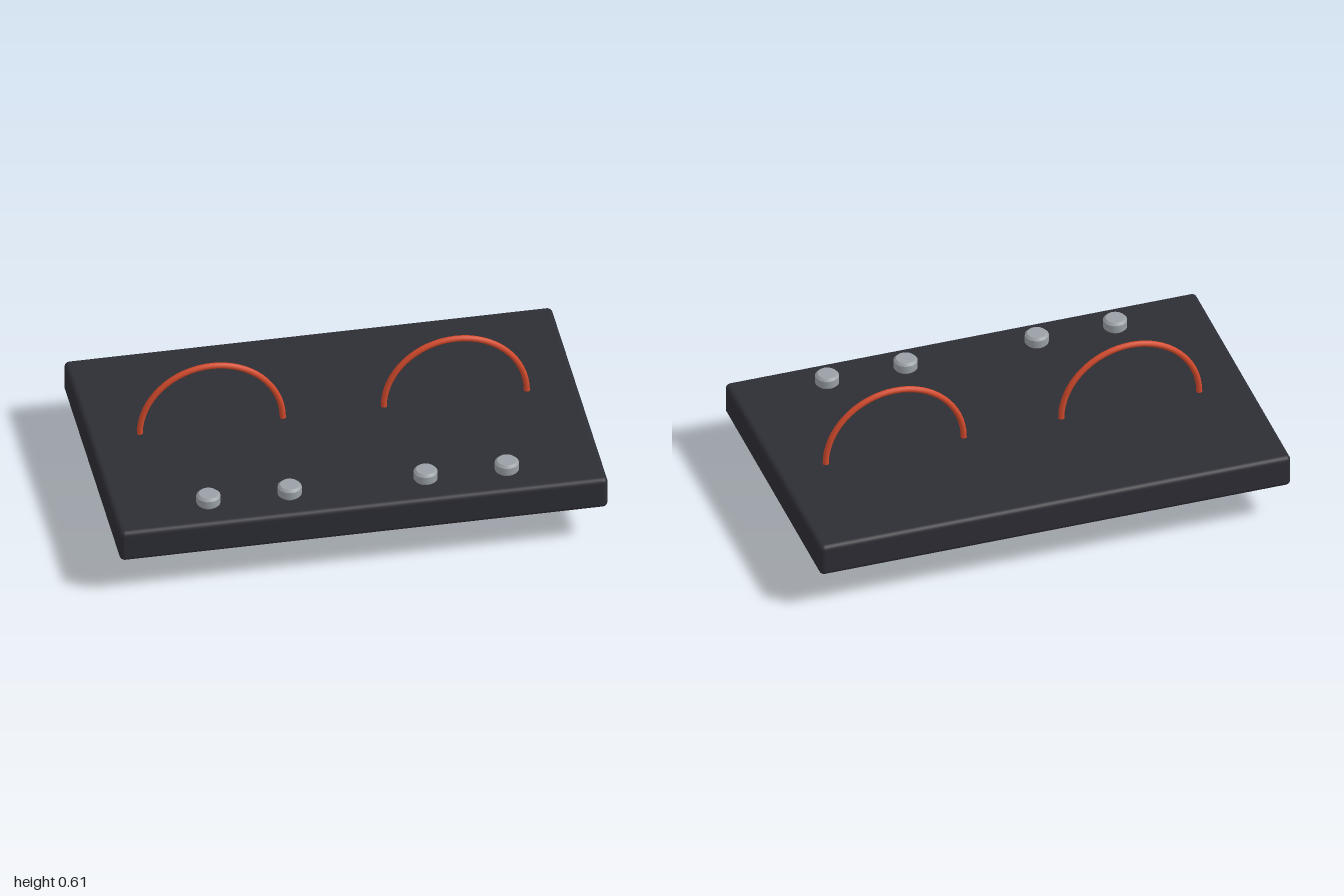
import * as THREE from 'three';
import { toCreasedNormals } from 'three/addons/utils/BufferGeometryUtils.js';
import { RoundedBoxGeometry } from 'three/addons/geometries/RoundedBoxGeometry.js';

function makeMaterial(name, color) {
  const material = new THREE.MeshStandardMaterial({ color });
  material.name = name;
  return material;
}

export function createModel() {
  const group = new THREE.Group();
  group.name = 'ringBoard';
  const charcoal = makeMaterial('charcoal', 0x2d2d35);
  const orange = makeMaterial('orange', 0xd24a2c);
  const grey = makeMaterial('grey', 0x9aa0a6);

  function add(name, geometry, material, x, y, z) {
    const mesh = new THREE.Mesh(geometry, material);
    mesh.name = name;
    mesh.position.set(x, y, z);
    group.add(mesh);
  }

  // Flat slab with softened edges
  add('slab', new RoundedBoxGeometry(2, 0.142, 1.22, 4, 0.022), charcoal, 0, 0.234, 0);

  // Two upright rings passing through the slab
  const ring = new THREE.TorusGeometry(0.293, 0.0125, 12, 64);
  for (const [name, x] of [['rightRing', -0.5], ['leftRing', 0.5]]) {
    add(name, ring, orange, x, 0.3055, -0.057);
  }

  // Four short bevelled knobs along the front edge
  const profile = [[0, 0], [0.04, 0], [0.049, 0.009], [0.049, 0.042], [0.039, 0.052], [0, 0.052]]
    .map(([r, y]) => new THREE.Vector2(r, y));
  const knob = toCreasedNormals(new THREE.LatheGeometry(profile, 18), 0.6);
  [-0.613, -0.28, 0.277, 0.61].forEach((x, i) => {
    add(`knob${i + 1}`, knob, grey, x, 0.304, 0.471);
  });

  return group;
}
